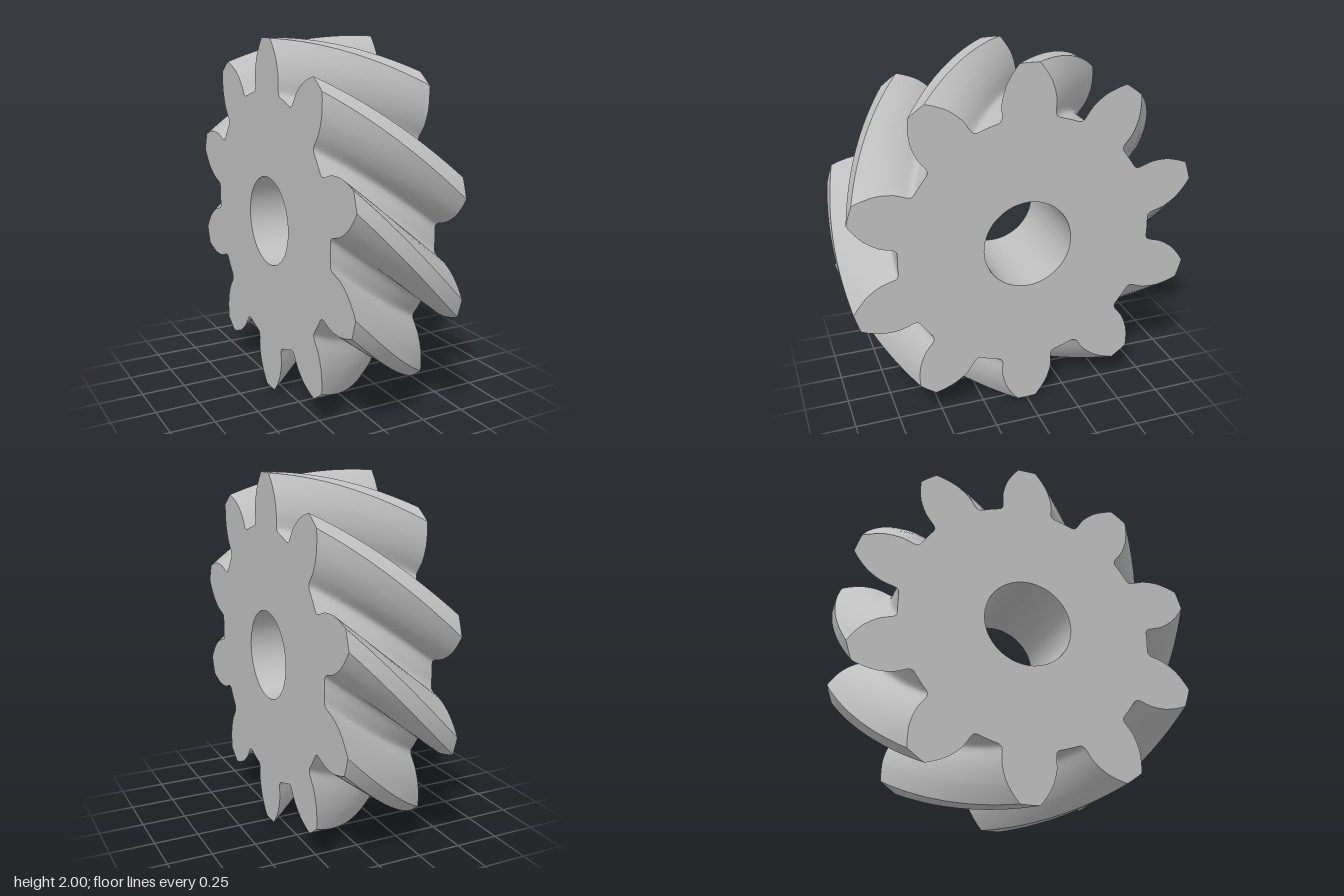
import * as THREE from 'three';
import { toCreasedNormals } from 'three/addons/utils/BufferGeometryUtils.js';

const TEETH = 10, WIDTH = 0.614, BORE = 0.25;
const PITCH = (Math.PI * 2) / TEETH;
const TWIST = PITCH; // the helix advances one tooth across the width

// half tooth from tip to root: [radius, angle from tooth centre]
const HALF = [
  [1, 0.025], [1, 0.054], [0.975, 0.078], [0.95, 0.1], [0.925, 0.121], [0.9, 0.14],
  [0.86, 0.163], [0.82, 0.182], [0.785, 0.191], [0.755, 0.196],
  [0.738, 0.202], [0.727, 0.213], [0.721, 0.23], [0.72, 0.27],
];

function gearShape() {
  const shape = new THREE.Shape();
  const pts = [];
  const add = (r, a) => pts.push(new THREE.Vector2(r * Math.sin(a), r * Math.cos(a)));
  for (let i = 0; i < TEETH; i++) {
    const c = i * PITCH;
    for (const [r, a] of [...HALF].reverse()) add(r, c - a);
    add(1, c);
    for (const [r, a] of HALF) add(r, c + a);
    add(0.72, c + PITCH / 2);
  }
  shape.setFromPoints(pts);
  shape.holes.push(new THREE.Path().absarc(0, 0, BORE, 0, Math.PI * 2));
  return shape;
}

export function createModel() {
  const group = new THREE.Group();
  group.name = 'helicalGear';
  const steel = new THREE.MeshStandardMaterial({ color: 0xbfbfbf });
  steel.name = 'steelGrey';

  // straight gear along x
  const geo = new THREE.ExtrudeGeometry(gearShape(), {
    depth: WIDTH, steps: 24, bevelEnabled: false, curveSegments: 24,
  });
  geo.translate(0, 0, -WIDTH / 2);
  geo.rotateY(Math.PI / 2);

  // twist each slice about the axle to make the teeth helical
  const pos = geo.attributes.position;
  for (let i = 0; i < pos.count; i++) {
    const x = pos.getX(i), y = pos.getY(i), z = pos.getZ(i);
    const t = (x / WIDTH - 0.5) * TWIST;
    const c = Math.cos(t), s = Math.sin(t);
    pos.setXYZ(i, x, y * c - z * s, y * s + z * c);
  }
  geo.translate(0, 1, 0);

  const gear = new THREE.Mesh(toCreasedNormals(geo, 0.6), steel);
  gear.name = 'gearBody';
  group.add(gear);
  return group;
}
